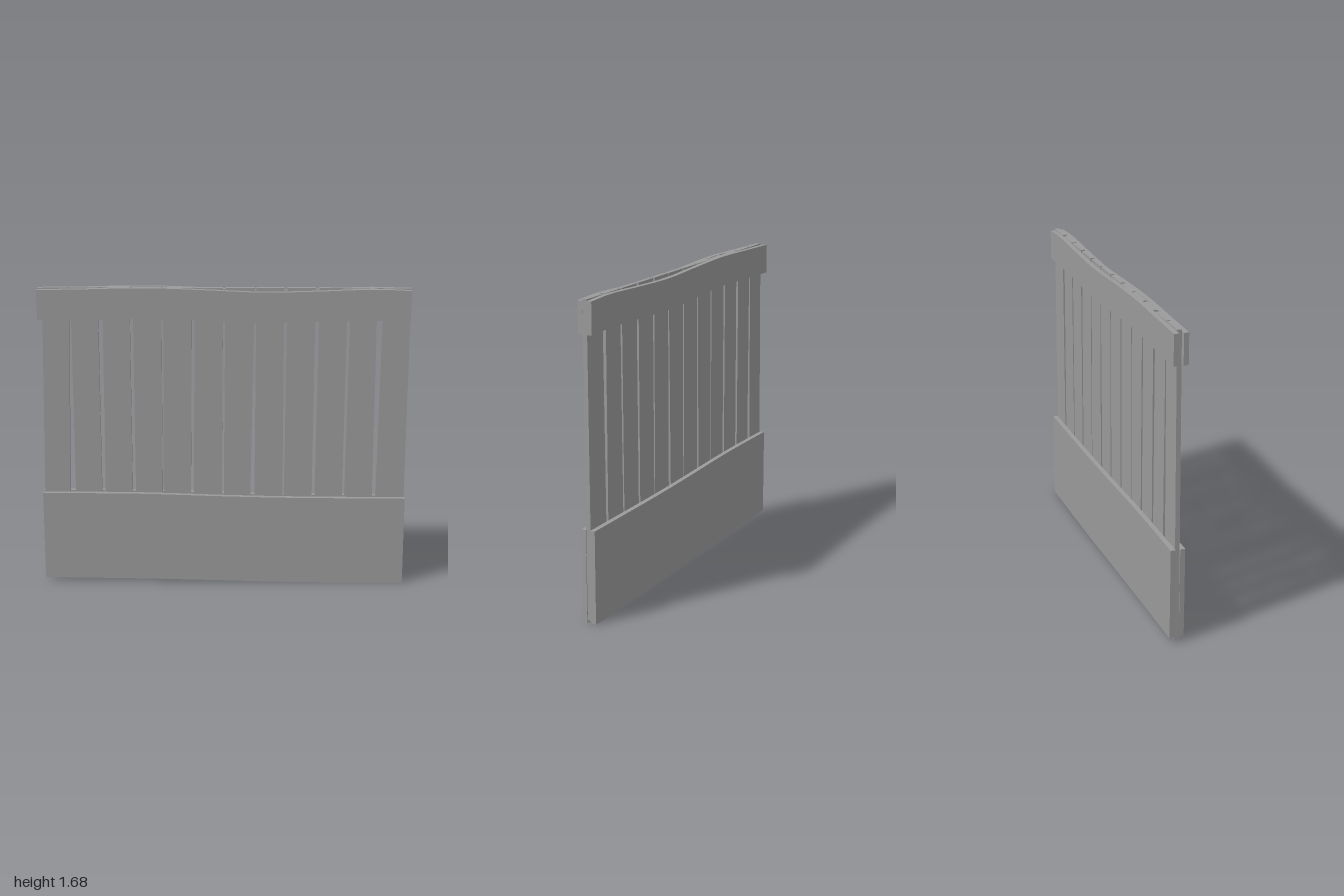
import * as THREE from 'three';

const material = new THREE.MeshStandardMaterial({ color: 0x9a9a9a, flatShading: true });

// Extrudes an outline in the xy plane between two depths.
function board(name, points, z0, z1) {
  const shape = new THREE.Shape(points);
  const geometry = new THREE.ExtrudeGeometry(shape, { depth: z1 - z0, bevelEnabled: false });
  geometry.translate(0, 0, z0);
  const mesh = new THREE.Mesh(geometry, material);
  mesh.name = name;
  return mesh;
}

// Outline of a warped rail from [x, y] points along its lower and upper edges.
function railOutline(lower, upper) {
  const smooth = (edge) =>
    new THREE.SplineCurve(edge.map(([x, y]) => new THREE.Vector2(x, y))).getPoints(20);
  return [...smooth(lower), ...smooth(upper).reverse()];
}

export function createModel() {
  const fence = new THREE.Group();
  fence.name = 'fencePanel';
  const slatHalf = 0.0125, railFace = 0.039;

  // Slats: [left, right] edges where they leave the bottom rail and meet the top rail
  const slats = [
    [-0.998, -0.85, -0.975, -0.832],
    [-0.82, -0.675, -0.82, -0.675],
    [-0.655, -0.505, -0.65, -0.505],
    [-0.487, -0.339, -0.487, -0.335],
    [-0.333, -0.182, -0.325, -0.172],
    [-0.166, -0.011, -0.157, -0.005],
    [0.0, 0.147, 0.007, 0.163],
    [0.17, 0.325, 0.173, 0.323],
    [0.333, 0.487, 0.338, 0.49],
    [0.503, 0.655, 0.51, 0.66],
    [0.667, 0.82, 0.677, 0.82],
    [0.84, 0.996, 0.85, 0.999],
  ];
  const yLow = 0.52, yHigh = 1.5, yBase = 0.013, yTop = 1.677;
  const slatGroup = new THREE.Group();
  slatGroup.name = 'slats';
  slats.forEach(([l0, r0, l1, r1]) => {
    const at = (a, b, y) =>
      new THREE.Vector2(THREE.MathUtils.clamp(a + ((b - a) * (y - yLow)) / (yHigh - yLow), -1, 1), y);
    slatGroup.add(board('slat',
      [at(l0, l1, yBase), at(r0, r1, yBase), at(r0, r1, yTop), at(l0, l1, yTop)], -slatHalf, slatHalf));
  });
  fence.add(slatGroup);

  // Warped rails, one pair fixed flat against each face of the slats
  const topRail = railOutline(
    [[-1, 1.503], [-0.75, 1.507], [-0.42, 1.516], [-0.1, 1.502], [0.2, 1.49], [0.5, 1.498], [0.8, 1.506], [1, 1.5]],
    [[-1, 1.668], [-0.75, 1.673], [-0.42, 1.68], [-0.1, 1.67], [0.2, 1.658], [0.5, 1.664], [0.8, 1.675], [1, 1.668]]);
  const bottomRail = railOutline(
    [[-1, 0.025], [-0.7, 0.022], [-0.4, 0.018], [0, 0.01], [0.35, 0.002], [0.7, 0], [1, 0]],
    [[-1, 0.524], [-0.7, 0.525], [-0.4, 0.522], [0, 0.51], [0.35, 0.503], [0.7, 0.501], [1, 0.5]]);
  [['front', slatHalf, railFace], ['back', -railFace, -slatHalf]].forEach(([side, z0, z1]) => {
    fence.add(board(side + 'TopRail', topRail, z0, z1));
    fence.add(board(side + 'BottomRail', bottomRail, z0, z1));
  });

  return fence;
}
